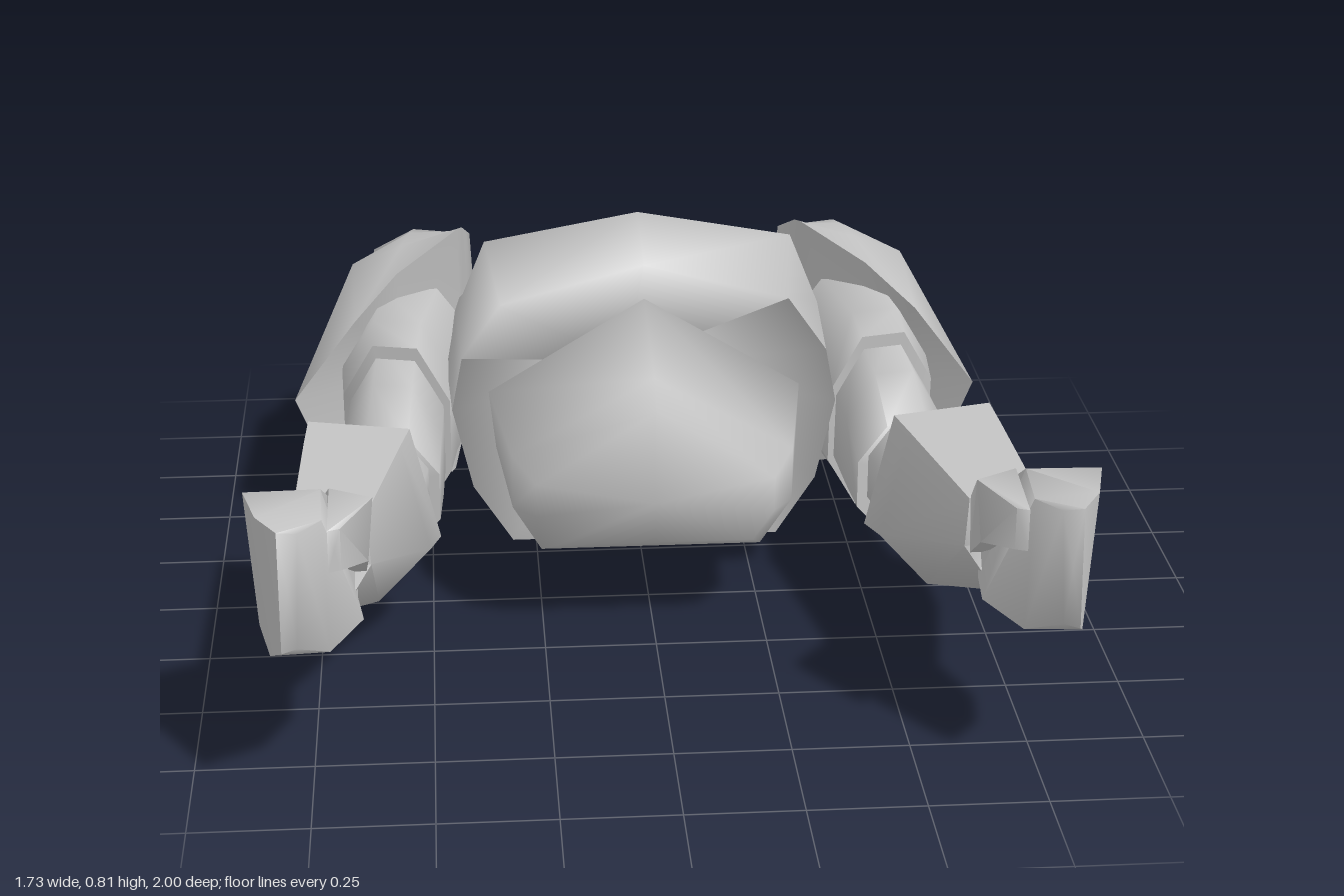
import * as THREE from 'three';
import { toCreasedNormals } from 'three/addons/utils/BufferGeometryUtils.js';

const metal = new THREE.MeshStandardMaterial({ color: 0xc4c4c4 });
metal.name = 'plain grey';

// Skins a row of closed rings and caps both ends; tips are the cap centres.
function loft(rings, tipA, tipB, crease = 1.3) {
  const n = rings[0].length;
  const mid = (r) => [0, 1, 2].map((k) => r.reduce((s, p) => s + p[k], 0) / n);
  const points = [...rings.flat(), tipA || mid(rings[0]), tipB || mid(rings.at(-1))];
  const a = points.length - 2, b = points.length - 1, last = (rings.length - 1) * n;
  const faces = [];
  for (let j = 0; j < n; j++) {
    const k = (j + 1) % n;
    for (let i = 0; i < last; i += n) {
      faces.push([i + j, i + k, i + n + k], [i + j, i + n + k, i + n + j]);
    }
    faces.push([a, k, j], [b, last + j, last + k]);
  }
  // Turn the faces outward if the enclosed volume comes out negative
  const v = points.map((p) => new THREE.Vector3(...p));
  const volume = faces.reduce((s, [p, q, r]) => s + v[p].dot(v[q].clone().cross(v[r])), 0);
  if (volume < 0) faces.forEach((f) => f.reverse());
  const g = new THREE.BufferGeometry();
  g.setAttribute('position', new THREE.Float32BufferAttribute(points.flat(), 3));
  g.setIndex(faces.flat());
  return toCreasedNormals(g, crease);
}

function part(parent, name, geometry) {
  const mesh = new THREE.Mesh(geometry, metal);
  mesh.name = name;
  parent.add(mesh);
}

// Half ring from top centre to bottom centre, completed across x = 0
const whole = (half) => [
  ...half,
  ...half.slice(1, -1).reverse().map(([x, y, z]) => [-x, y, z]),
];

// Rounded eight-sided ring; tilt shifts z with height, skew shifts z with x
const oval = (x, y, z, rx, ry, tilt = 0, skew = 0) =>
  Array.from({ length: 8 }, (_, i) => {
    const t = ((i + 0.5) * Math.PI) / 4;
    const c = Math.cos(t) / 0.924, s = Math.sin(t) / 0.924;
    return [x + rx * c, y + ry * s, z + tilt * s + skew * c];
  });

function buildArm(side) {
  const arm = new THREE.Group();
  arm.name = side > 0 ? 'leftArm' : 'rightArm';
  const add = (name, rings, tipA, tipB, crease) => {
    const flip = (p) => p && [p[0] * side, p[1], p[2]];
    part(arm, name, loft(rings.map((r) => r.map(flip)), flip(tipA), flip(tipB), crease));
  };

  // Shoulder plate: boxy domed back, narrow neck, then a flared slanted rim
  add('shoulderPlate', [
    [[0.38, 0.4, -0.895], [0.39, 0.6, -0.87], [0.53, 0.615, -0.87], [0.63, 0.56, -0.88],
      [0.66, 0.4, -0.9], [0.64, 0.2, -0.9], [0.56, 0.11, -0.91], [0.41, 0.12, -0.9]],
    [[0.4, 0.39, -0.82], [0.4, 0.64, -0.78], [0.54, 0.63, -0.8], [0.63, 0.57, -0.81],
      [0.675, 0.38, -0.81], [0.64, 0.16, -0.82], [0.56, 0.08, -0.83], [0.42, 0.06, -0.83]],
    [[0.41, 0.37, -0.79], [0.41, 0.68, -0.69], [0.56, 0.63, -0.7], [0.68, 0.58, -0.72],
      [0.76, 0.37, -0.75], [0.69, 0.13, -0.74], [0.58, 0.06, -0.74], [0.44, 0.01, -0.75]],
    [[0.42, 0.36, -0.74], [0.42, 0.685, -0.665], [0.57, 0.61, -0.56], [0.67, 0.55, -0.4],
      [0.82, 0.35, -0.41], [0.72, 0.1, -0.41], [0.6, 0.08, -0.6], [0.45, 0.005, -0.735]],
  ], [0.5, 0.37, -1.0], [0.57, 0.33, -0.62]);

  add('shoulderBand', [
    oval(0.54, 0.32, -0.64, 0.16, 0.22),
    oval(0.57, 0.32, -0.4, 0.135, 0.235, 0.02, -0.03),
    oval(0.575, 0.31, -0.29, 0.125, 0.225, 0.02, -0.03),
  ]);
  add('upperArm', [
    oval(0.57, 0.305, -0.4, 0.11, 0.2),
    oval(0.58, 0.31, -0.12, 0.11, 0.19, 0, -0.02),
    oval(0.593, 0.29, 0.01, 0.115, 0.135, 0, -0.03),
  ]);
  add('elbow', [
    oval(0.59, 0.3, -0.06, 0.1, 0.12),
    oval(0.61, 0.31, 0.05, 0.102, 0.125, 0, -0.03),
    oval(0.63, 0.32, 0.18, 0.105, 0.13),
  ]);
  add('forearm', [
    [[0.54, 0.505, 0.145], [0.765, 0.505, 0.088], [0.8, 0.31, 0.08], [0.72, 0.13, 0.06],
      [0.61, 0.11, 0.08], [0.477, 0.25, 0.165]],
    [[0.56, 0.505, 0.24], [0.77, 0.505, 0.2], [0.803, 0.32, 0.2], [0.73, 0.14, 0.2],
      [0.62, 0.11, 0.2], [0.5, 0.26, 0.25]],
    [[0.63, 0.51, 0.61], [0.78, 0.51, 0.6], [0.8, 0.42, 0.6], [0.77, 0.33, 0.66],
      [0.68, 0.325, 0.67], [0.62, 0.41, 0.63]],
  ], [0.63, 0.3, 0.14]);
  add('hand', [
    [[0.65, 0.49, 0.59], [0.79, 0.49, 0.6], [0.79, 0.34, 0.64], [0.65, 0.34, 0.64]],
    [[0.71, 0.65, 0.775], [0.865, 0.65, 0.78], [0.845, 0.36, 0.79], [0.635, 0.355, 0.77]],
    [[0.705, 0.64, 0.9], [0.835, 0.65, 0.9], [0.82, 0.34, 0.89], [0.7, 0.345, 0.89]],
    [[0.75, 0.64, 0.96], [0.79, 0.65, 0.975], [0.79, 0.4, 1.0], [0.76, 0.4, 0.98]],
  ]);
  add('thumb', [
    [[0.63, 0.52, 0.62], [0.74, 0.52, 0.62], [0.74, 0.4, 0.64], [0.63, 0.4, 0.64]],
    [[0.607, 0.64, 0.8], [0.695, 0.64, 0.75], [0.7, 0.5, 0.75], [0.62, 0.5, 0.8]],
    [[0.67, 0.62, 0.9], [0.695, 0.62, 0.91], [0.695, 0.53, 0.91], [0.67, 0.53, 0.9]],
  ]);
  return arm;
}

export function createModel() {
  const model = new THREE.Group();
  model.name = 'armouredTorso';

  // Chest: lower rim, fullest ring, upper ring, notched neck edge
  part(model, 'chest', loft([
    [[0, 0.765, -0.155], [0.33, 0.69, -0.12], [0.42, 0.56, -0.125], [0.445, 0.43, -0.13],
      [0.4, 0.24, -0.12], [0.31, 0.1, -0.12], [0, 0.1, -0.12]],
    [[0, 0.82, -0.37], [0.36, 0.755, -0.37], [0.43, 0.58, -0.38], [0.455, 0.43, -0.4],
      [0.42, 0.24, -0.42], [0.33, 0.07, -0.44], [0, 0.07, -0.44]],
    [[0, 0.66, -0.6], [0.33, 0.62, -0.61], [0.42, 0.52, -0.63], [0.455, 0.41, -0.65],
      [0.42, 0.24, -0.64], [0.32, 0.09, -0.61], [0, 0.09, -0.61]],
    [[0, 0.54, -0.7], [0.265, 0.29, -0.84], [0.34, 0.33, -0.81], [0.4, 0.31, -0.77],
      [0.37, 0.22, -0.77], [0.27, 0.17, -0.8], [0, 0.17, -0.76]],
  ].map(whole), [0, 0.28, -0.78], [0, 0.28, -0.78], Math.PI));

  // Abdomen: five-sided, with the underside rising to the end face
  part(model, 'abdomen', loft([
    [[0, 0.69, -0.14], [0.36, 0.47, -0.14], [0.345, 0.33, -0.14], [0.26, 0.165, -0.14], [0, 0.165, -0.14]],
    [[0, 0.625, 0.18], [0.315, 0.43, 0.14], [0.315, 0.3, 0.13], [0.25, 0.17, 0.08], [0, 0.17, 0.08]],
    [[0, 0.57, 0.24], [0.265, 0.4, 0.235], [0.265, 0.32, 0.23], [0.22, 0.24, 0.21], [0, 0.24, 0.21]],
  ].map(whole), null, null, Math.PI));

  model.add(buildArm(1), buildArm(-1));
  return model;
}
